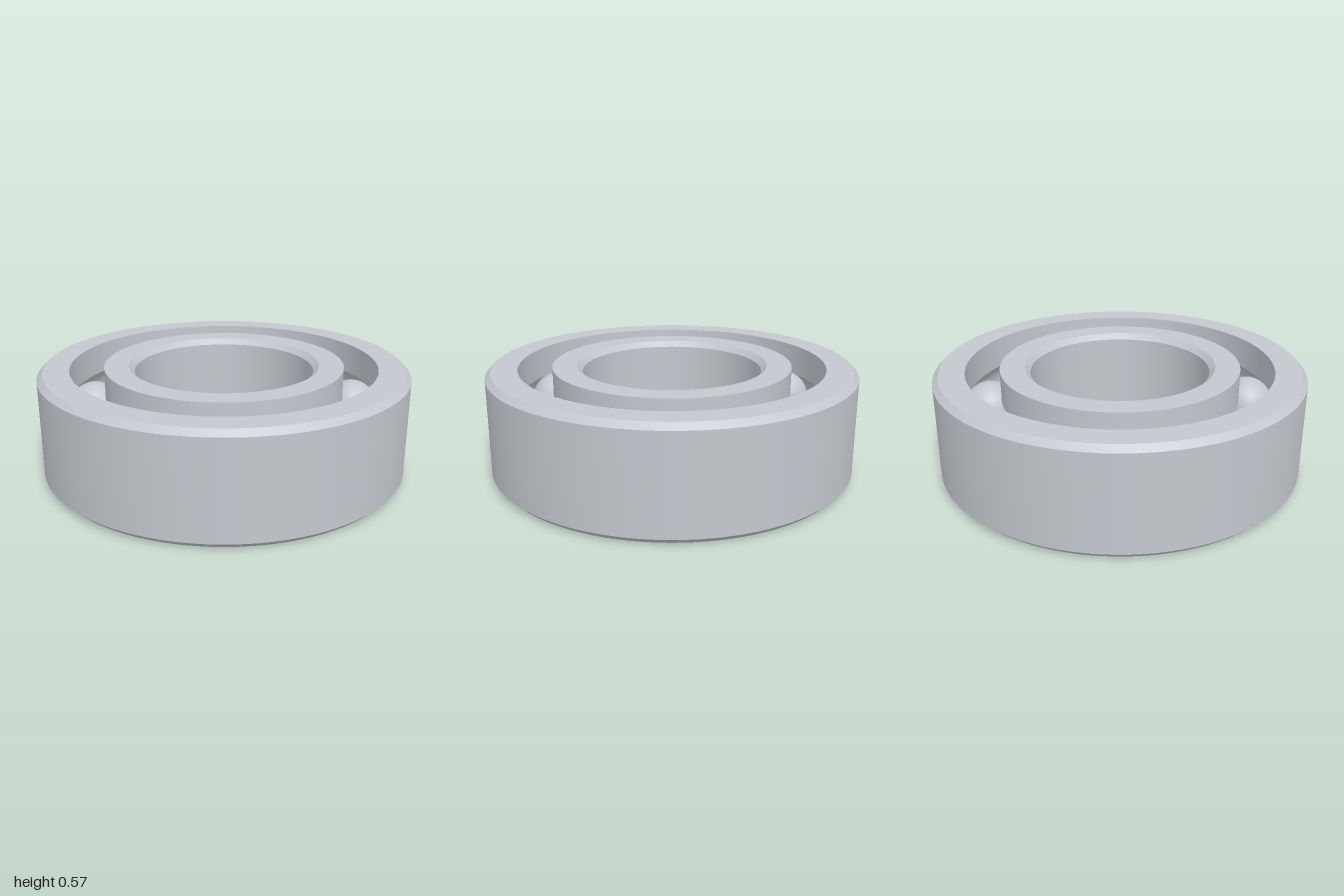
import * as THREE from 'three';
import { toCreasedNormals } from 'three/addons/utils/BufferGeometryUtils.js';

const HEIGHT = 0.575, MID = HEIGHT / 2, CHAMFER = 0.03;
const PITCH = 0.738, BALL_RADIUS = 0.145, GROOVE_RADIUS = 0.148, BALLS = 11;

// Arc of the ball track, cut into a wall at the given radius
function groove(wallRadius, steps = 14) {
  const a = Math.acos((wallRadius - PITCH) / GROOVE_RADIUS);
  const outward = wallRadius > PITCH;
  const from = a, to = outward ? -a : 2 * Math.PI - a;
  const points = [];
  for (let i = 0; i <= steps; i++) {
    const t = from + (to - from) * i / steps;
    points.push([PITCH + GROOVE_RADIUS * Math.cos(t), MID + GROOVE_RADIUS * Math.sin(t)]);
  }
  return outward ? points : points.reverse();
}

// Closed counterclockwise section spun about the axis
function ring(name, section, material) {
  const points = [...section, section[0]].map(([r, y]) => new THREE.Vector2(r, y));
  const geometry = toCreasedNormals(new THREE.LatheGeometry(points, 96), 0.5);
  const mesh = new THREE.Mesh(geometry, material);
  mesh.name = name;
  return mesh;
}

export function createModel() {
  const steel = new THREE.MeshStandardMaterial({ color: 0xc4c8ce });
  steel.name = 'steel';
  const model = new THREE.Group();
  model.name = 'ballBearing';

  // Outer ring, chamfered on its outside edges
  model.add(ring('outerRing', [
    [0.83, 0], [1 - CHAMFER, 0], [1, CHAMFER],
    [1, HEIGHT - CHAMFER], [1 - CHAMFER, HEIGHT], [0.83, HEIGHT],
    ...groove(0.83),
  ], steel));

  // Inner ring, chamfered at the bore
  const bore = 0.485;
  model.add(ring('innerRing', [
    [bore + CHAMFER, 0], [0.648, 0],
    ...groove(0.648),
    [0.648, HEIGHT], [bore + CHAMFER, HEIGHT],
    [bore, HEIGHT - CHAMFER], [bore, CHAMFER],
  ], steel));

  // Balls spaced evenly around the track
  const balls = new THREE.Group();
  balls.name = 'balls';
  const ballGeometry = new THREE.SphereGeometry(BALL_RADIUS, 40, 24);
  for (let i = 0; i < BALLS; i++) {
    const angle = i / BALLS * Math.PI * 2;
    const ball = new THREE.Mesh(ballGeometry, steel);
    ball.name = 'ball';
    ball.position.set(PITCH * Math.cos(angle), MID, PITCH * Math.sin(angle));
    balls.add(ball);
  }
  model.add(balls);
  return model;
}
